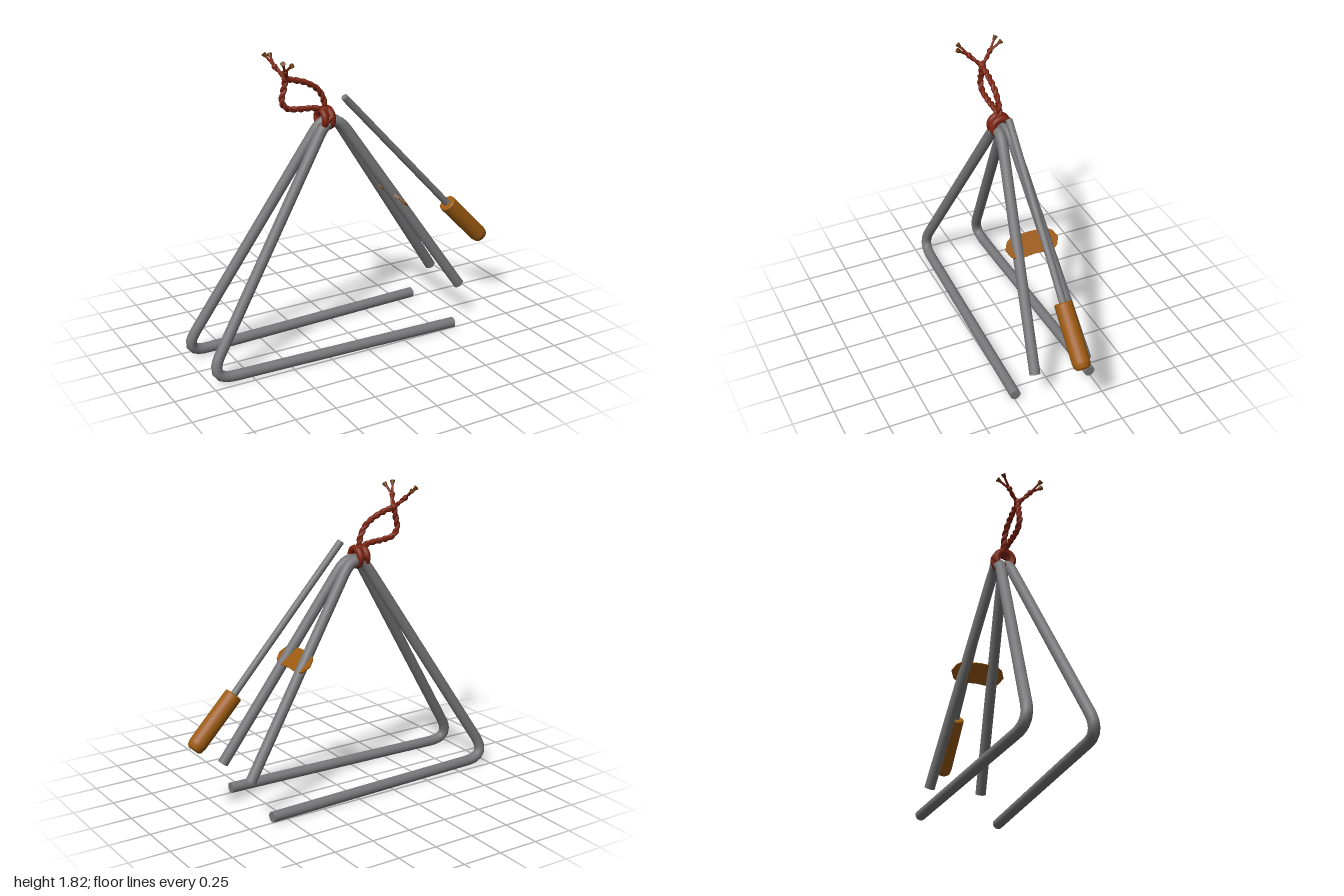
import * as THREE from 'three';

const V = (x, y, z) => new THREE.Vector3(x, y, z);
const mat = (name, color, side = THREE.FrontSide) => {
  const m = new THREE.MeshStandardMaterial({ color, side });
  m.name = name;
  return m;
};

export function createModel() {
  const steel = mat('steel grey', 0x78787a);
  const wood = mat('wood brown', 0x9c5a10);
  const cord = mat('cord red', 0x7c2410);
  const tipMat = mat('cord tip brown', 0x6a3a14);

  const model = new THREE.Group();
  model.name = 'triangleInstrument';

  const add = (parent, name, geometry, material) => {
    const mesh = new THREE.Mesh(geometry, material);
    mesh.name = name;
    parent.add(mesh);
    return mesh;
  };

  // Point an object whose long axis is +y from a to b, centred between them
  const aim = (object, a, b) => {
    object.position.copy(a).add(b).multiplyScalar(0.5);
    object.quaternion.setFromUnitVectors(V(0, 1, 0), b.clone().sub(a).normalize());
    return object;
  };

  // Polyline with rounded corners
  const bentPath = (points, bend) => {
    const path = new THREE.CurvePath();
    let from = points[0];
    for (let i = 1; i < points.length - 1; i++) {
      const p = points[i];
      const toward = (q) => p.clone().add(q.clone().sub(p).setLength(bend));
      const start = toward(points[i - 1]), end = toward(points[i + 1]);
      path.add(new THREE.LineCurve3(from, start));
      path.add(new THREE.QuadraticBezierCurve3(start, p, end));
      from = end;
    }
    path.add(new THREE.LineCurve3(from, points[points.length - 1]));
    return path;
  };

  // Two bent steel rods leaning together at the top
  const rodRadius = 0.032;
  for (const s of [1, -1]) {
    const rod = new THREE.Group();
    rod.name = s > 0 ? 'frontTriangle' : 'backTriangle';
    const points = [
      V(0.6, 0.037, s * 0.245), V(-1.02, 0.034, s * 0.19),
      V(-0.12, 1.47, s * 0.018), V(0.69, 0.245, s * 0.165),
    ];
    add(rod, 'bentRod', new THREE.TubeGeometry(bentPath(points, 0.17), 140, rodRadius, 20), steel);
    for (const [end, before] of [[0, 1], [3, 2]]) {
      const cap = add(rod, 'rodEnd', new THREE.CircleGeometry(rodRadius, 20), steel);
      cap.position.copy(points[end]);
      cap.quaternion.setFromUnitVectors(V(0, 0, 1), points[end].clone().sub(points[before]).normalize());
    }
    model.add(rod);
  }

  // Beater: thin rod with a round-ended wooden handle
  const beater = new THREE.Group();
  beater.name = 'beater';
  const tip = V(-0.015, 1.505, 0), neck = V(0.695, 0.727, 0), butt = V(0.962, 0.447, 0);
  const shaftLength = tip.distanceTo(neck) + 0.04;
  aim(add(beater, 'beaterRod', new THREE.CylinderGeometry(0.021, 0.021, shaftLength, 18), steel), neck, tip);
  const h = neck.distanceTo(butt) / 2, r = 0.053;
  const handleProfile = [
    [0, -h], [r * 0.6, -h], [r * 0.88, -h + 0.012], [r, -h + 0.04],
    [r, -h + 0.04], [r, h - 0.006], [r, h - 0.006], [r - 0.006, h], [r - 0.006, h], [0, h],
  ].map(([x, y]) => new THREE.Vector2(x, y));
  aim(add(beater, 'handle', new THREE.LatheGeometry(handleProfile, 28), wood), butt, neck);
  model.add(beater);

  // Thin wooden spacer plate across the two right legs
  const plateShape = new THREE.Shape([
    [0.167, 0], [0.145, 0.045], [0.11, 0.068], [0, 0.074], [-0.11, 0.068], [-0.145, 0.045],
    [-0.167, 0], [-0.145, -0.045], [-0.11, -0.068], [0, -0.06], [0.11, -0.068], [0.145, -0.045],
  ].map(([x, y]) => new THREE.Vector2(x, y)));
  const plateGeometry = new THREE.ExtrudeGeometry(plateShape, { depth: 0.008, bevelEnabled: false });
  plateGeometry.translate(0, 0, -0.004);
  const plate = add(model, 'spacerPlate', plateGeometry, wood);
  const up = V(-1, 0.95, 0).normalize(), side = V(0, 0, -1);
  plate.quaternion.setFromRotationMatrix(
    new THREE.Matrix4().makeBasis(side, up, side.clone().cross(up)));
  plate.position.set(0.29, 0.862, 0);

  // Two strands twisted around a smooth path
  const tie = new THREE.Group();
  tie.name = 'cordTie';
  model.add(tie);
  const rope = (name, points, radius) => {
    const path = new THREE.CatmullRomCurve3(points);
    const length = path.getLength();
    const n = Math.max(12, Math.round(length / 0.008));
    const frames = path.computeFrenetFrames(n);
    for (const phase of [0, Math.PI]) {
      const strand = [];
      for (let i = 0; i <= n; i++) {
        const a = phase + (i / n) * length * 70;
        strand.push(path.getPointAt(i / n)
          .addScaledVector(frames.normals[i], Math.cos(a) * radius * 0.4)
          .addScaledVector(frames.binormals[i], Math.sin(a) * radius * 0.4));
      }
      add(tie, name, new THREE.TubeGeometry(new THREE.CatmullRomCurve3(strand), n * 2, radius * 0.7, 8), cord);
    }
  };
  const knot = (name, p, size) => {
    const ball = add(tie, name, new THREE.SphereGeometry(size, 12, 8), cord);
    ball.position.copy(p);
  };

  // Coils wrapped round the top bend
  for (const x of [-0.178, -0.133]) {
    const coil = add(tie, 'coil', new THREE.TorusGeometry(0.05, 0.021, 10, 28), cord);
    coil.rotation.y = Math.PI / 2;
    coil.scale.x = 1.02;
    coil.position.set(x, 1.415, 0);
  }
  for (const s of [1, -1]) {
    const cross = aim(add(tie, 'crossWrap', new THREE.CapsuleGeometry(0.018, 0.05, 4, 10), cord),
      V(-0.19, 1.40, s * 0.055), V(-0.12, 1.44, s * 0.055));
    cross.scale.setScalar(0.9);
  }
  knot('topKnot', V(-0.158, 1.465, 0), 0.026);

  // Hanging loop
  const junction = V(-0.4, 1.68, 0);
  rope('loopUpper', [V(-0.152, 1.46, 0), V(-0.168, 1.54, 0), V(-0.205, 1.597, 0),
    V(-0.28, 1.643, 0), junction], 0.017);
  rope('loopLower', [V(-0.15, 1.46, 0), V(-0.22, 1.483, 0), V(-0.32, 1.492, 0), V(-0.395, 1.507, 0),
    V(-0.427, 1.55, 0), V(-0.415, 1.615, 0), junction], 0.017);
  knot('loopKnot', junction, 0.023);

  // Loose cord ends, each splitting into two tipped strands
  for (const s of [1, -1]) {
    const split = V(-0.435, 1.74, s * 0.065);
    rope('cordEnd', [junction, V(-0.413, 1.705, s * 0.03), split], 0.012);
    knot('endKnot', split, 0.017);
    for (const end of [V(-0.474, 1.805, s * 0.118), V(-0.43, 1.792, s * 0.136)]) {
      aim(add(tie, 'endStrand', new THREE.CylinderGeometry(0.007, 0.007, split.distanceTo(end), 8), cord), split, end);
      const before = end.clone().lerp(split, 0.2);
      aim(add(tie, 'endTip', new THREE.CylinderGeometry(0.015, 0.008, 0.024, 10), tipMat), before, end);
    }
  }
  return model;
}
